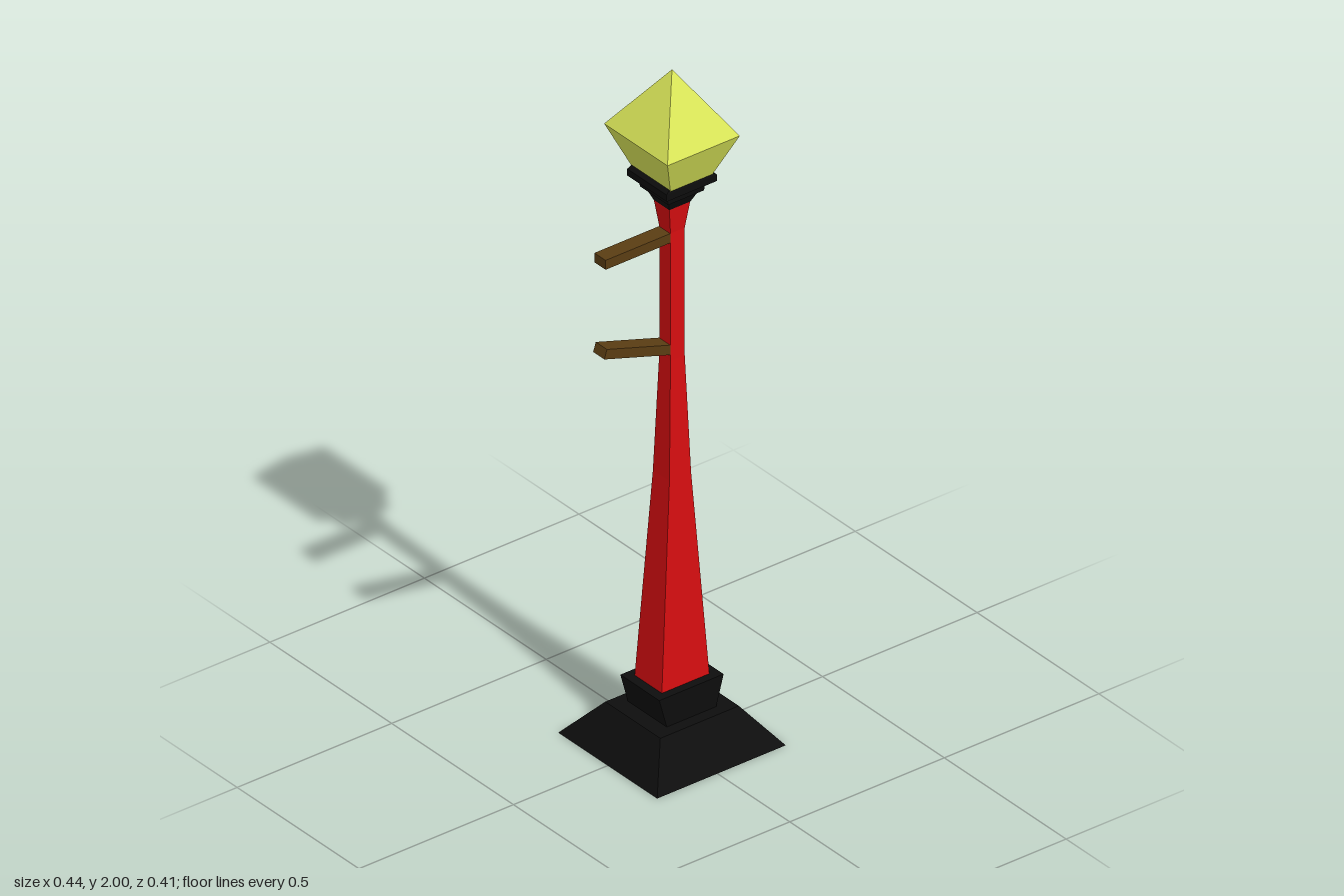
import * as THREE from 'three';

const CX = 0.013; // post axis

function material(name, color) {
  const m = new THREE.MeshStandardMaterial({ color, side: THREE.DoubleSide, flatShading: true });
  m.name = name;
  return m;
}

// Stacks rectangular rings [y, halfX, halfZ] into a flat-sided tube, open at both ends
function loft(rings) {
  const corner = ([y, hx, hz], i) => {
    const [sx, sz] = [[-1, 1], [1, 1], [1, -1], [-1, -1]][i % 4];
    return [CX + sx * hx, y, sz * hz];
  };
  const pos = [];
  for (let r = 0; r < rings.length - 1; r++) {
    for (let i = 0; i < 4; i++) {
      const a = corner(rings[r], i), b = corner(rings[r], i + 1);
      const c = corner(rings[r + 1], i + 1), d = corner(rings[r + 1], i);
      pos.push(...a, ...b, ...c);
      if (rings[r + 1][1] > 0) pos.push(...a, ...c, ...d);
    }
  }
  const g = new THREE.BufferGeometry();
  g.setAttribute('position', new THREE.Float32BufferAttribute(pos, 3));
  g.computeVertexNormals();
  return g;
}

export function createModel() {
  const model = new THREE.Group();
  model.name = 'streetLamp';
  const black = material('blackIron', 0x0d0d0d);
  const red = material('redPaint', 0xd60e10);
  const yellow = material('yellowGlass', 0xd8e458);
  const brown = material('brownWood', 0x5a3d13);

  const add = (name, geometry, mat) => {
    const mesh = new THREE.Mesh(geometry, mat);
    mesh.name = name;
    model.add(mesh);
    return mesh;
  };

  // Hollow sloped foot, with a ledge running in to the collar
  add('base', loft([
    [0, 0.208, 0.203], [0.105, 0.127, 0.113], [0.105, 0.08, 0.08],
  ]), black);

  // Collar flares to the sides, then closes in around the post
  add('collar', loft([
    [0.105, 0.08, 0.08], [0.193, 0.104, 0.08], [0.193, 0.077, 0.056],
  ]), black);

  // Tapered post with a flared head
  add('post', loft([
    [0.19, 0.077, 0.056], [0.8, 0.035, 0.034], [1.15, 0.023, 0.023],
    [1.53, 0.023, 0.023], [1.61, 0.034, 0.032],
  ]), red);

  // Stepped capital
  add('capital', loft([
    [1.608, 0.034, 0.032], [1.635, 0.045, 0.045], [1.645, 0.058, 0.058],
    [1.665, 0.06, 0.06], [1.675, 0.081, 0.081], [1.695, 0.081, 0.081],
    [1.704, 0.07, 0.078], [1.704, 0, 0],
  ]), black);

  // Faceted lantern
  add('lantern', loft([
    [1.7, 0.068, 0.08], [1.82, 0.117, 0.13], [2, 0, 0],
  ]), yellow);

  // Side arms on the model's right: [name, height at post, height at tip]
  for (const [name, y0, y1] of [['upperArm', 1.515, 1.515], ['lowerArm', 1.178, 1.248]]) {
    const x0 = 0.0, x1 = -0.219;
    const arm = add(name, new THREE.BoxGeometry(Math.hypot(x1 - x0, y1 - y0), 0.028, 0.046), brown);
    arm.position.set((x0 + x1) / 2, (y0 + y1) / 2, -0.001);
    arm.rotation.z = Math.atan2(y0 - y1, x0 - x1);
  }

  return model;
}
